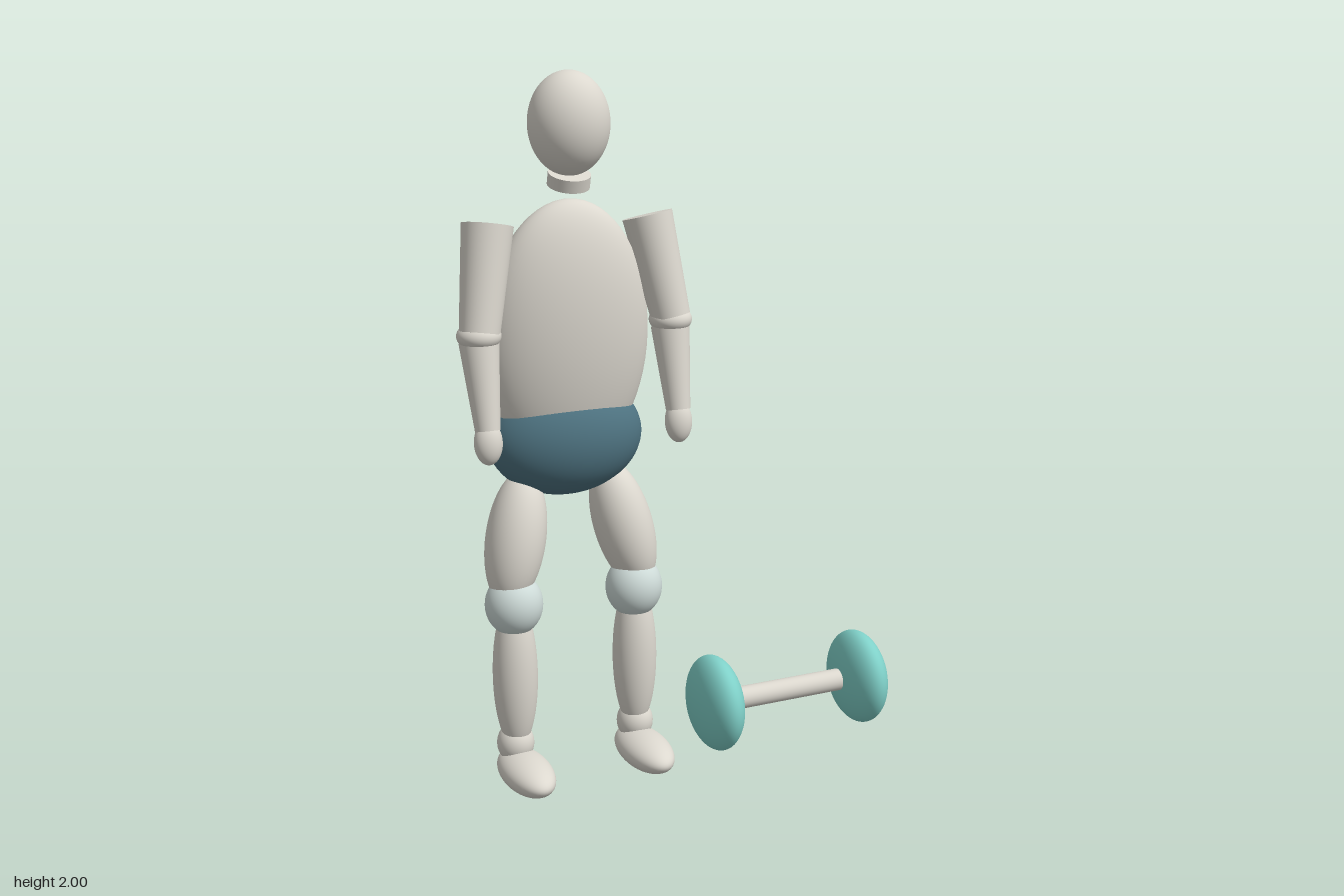
import * as THREE from 'three';

const UP = new THREE.Vector3(0, 1, 0);
const paint = (color) => new THREE.MeshStandardMaterial({ color });

export function createModel() {
  const model = new THREE.Group();
  const skin = paint(0xdcd8cf);
  const shorts = paint(0x4f7482);
  const kneePad = paint(0xcfdcd9);
  const weight = paint(0x7fd0c8);

  // Ellipsoid whose own y axis is turned towards "axis"
  function ellipsoid(parent, name, material, pos, radii, axis = [0, 1, 0]) {
    const mesh = new THREE.Mesh(new THREE.SphereGeometry(1, 48, 32), material);
    mesh.name = name;
    mesh.position.set(...pos);
    mesh.scale.set(...radii);
    mesh.quaternion.setFromUnitVectors(UP, new THREE.Vector3(...axis).normalize());
    parent.add(mesh);
  }

  // Tapered cylinder from point a (bottom) to point b (top)
  function rod(parent, name, material, a, b, rBottom, rTop) {
    const from = new THREE.Vector3(...a);
    const to = new THREE.Vector3(...b);
    const length = from.distanceTo(to);
    const mesh = new THREE.Mesh(new THREE.CylinderGeometry(rTop, rBottom, length, 48), material);
    mesh.name = name;
    mesh.position.copy(from).lerp(to, 0.5);
    mesh.quaternion.setFromUnitVectors(UP, to.sub(from).normalize());
    parent.add(mesh);
  }

  const figure = new THREE.Group();
  figure.name = 'figure';
  figure.position.x = -0.27;
  model.add(figure);

  // Head, neck and trunk
  ellipsoid(figure, 'head', skin, [0, 1.861, -0.075], [0.112, 0.139, 0.104]);
  rod(figure, 'neck', skin, [0, 1.695, -0.085], [0, 1.729, -0.075], 0.058, 0.058);
  ellipsoid(figure, 'torso', skin, [0, 1.277, -0.113], [0.238, 0.384, 0.118], [0, 1, 0.08]);
  ellipsoid(figure, 'pelvis', shorts, [0, 0.991, -0.138], [0.226, 0.168, 0.139]);

  for (const s of [-1, 1]) {
    const side = s > 0 ? 'left' : 'right';

    // Arm, hanging slightly outwards and forwards
    const arm = new THREE.Group();
    arm.name = side + 'Arm';
    figure.add(arm);
    rod(arm, 'upperArm', skin, [s * 0.278, 1.325, -0.034], [s * 0.231, 1.603, -0.085], 0.055, 0.07);
    ellipsoid(arm, 'elbow', skin, [s * 0.279, 1.317, -0.038], [0.06, 0.04, 0.06]);
    rod(arm, 'forearm', skin, [s * 0.279, 1.07, 0.014], [s * 0.279, 1.3, -0.039], 0.034, 0.054);
    ellipsoid(arm, 'hand', skin, [s * 0.279, 1.037, 0.016], [0.039, 0.06, 0.033], [0, 1, -0.1]);

    // Leg, thigh leaning in towards the hip
    const leg = new THREE.Group();
    leg.name = side + 'Leg';
    figure.add(leg);
    ellipsoid(leg, 'thigh', skin, [s * 0.163, 0.717, -0.111], [0.084, 0.192, 0.09], [-s * 0.23, 1, -0.167]);
    ellipsoid(leg, 'knee', kneePad, [s * 0.183, 0.535, -0.082], [0.082, 0.09, 0.08]);
    ellipsoid(leg, 'shin', skin, [s * 0.184, 0.325, -0.082], [0.064, 0.23, 0.062]);
    ellipsoid(leg, 'ankle', skin, [s * 0.186, 0.115, -0.087], [0.053, 0.06, 0.054]);
    ellipsoid(leg, 'foot', skin, [s * 0.183, 0.054, -0.012], [0.071, 0.05, 0.145]);
  }

  // Dumbbell lying beside the figure
  const dumbbell = new THREE.Group();
  dumbbell.name = 'dumbbell';
  dumbbell.position.set(0.301, 0.23, 0.139);
  model.add(dumbbell);
  rod(dumbbell, 'bar', skin, [-0.234, 0, 0], [0.234, 0, 0], 0.032, 0.032);
  for (const s of [-1, 1]) {
    ellipsoid(dumbbell, 'weight', weight, [s * 0.234, 0, 0], [0.067, 0.137, 0.137]);
  }

  return model;
}
